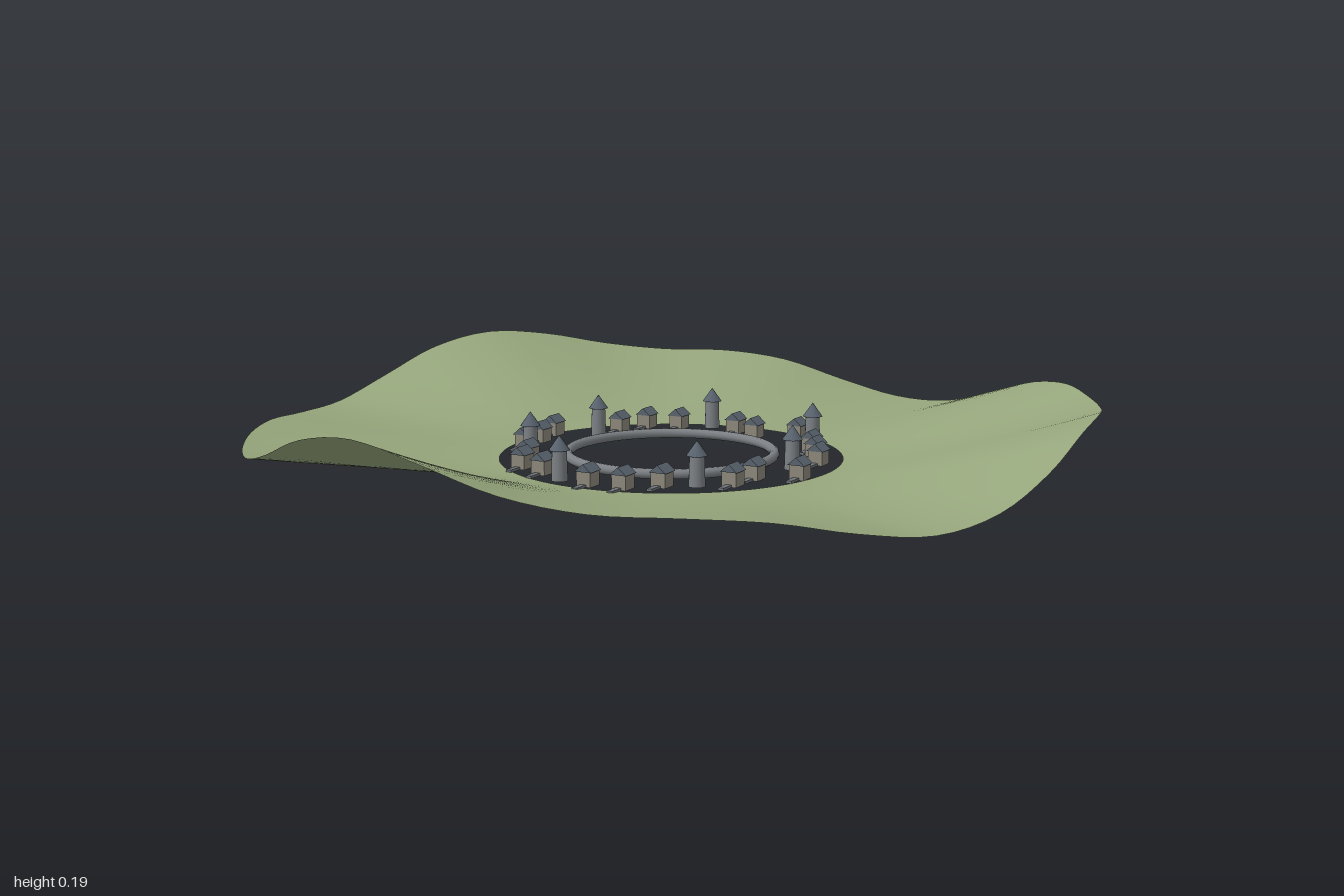
import * as THREE from 'three';
import { mergeVertices } from 'three/addons/utils/BufferGeometryUtils.js';

const paint = (color, extra = {}) => new THREE.MeshStandardMaterial({ color, ...extra });
const grass = paint(0x96a67c, { side: THREE.DoubleSide });
const stone = paint(0x7c8084);
const wall = paint(0x8c887c);
const slate = paint(0x59636e, { flatShading: true });
const timber = paint(0x70757a);

const INNER = 0.41;

// Rim height of the hills, one value every 10 degrees from +x towards +z
const RIM = [
  0.152, 0.095, 0.04, 0.02, 0.042, 0.075, 0.088, 0.093, 0.118, 0.165, 0.195, 0.17,
  0.11, 0.07, 0.06, 0.064, 0.064, 0.052, 0.055, 0.1, 0.16, 0.188, 0.172, 0.138,
  0.118, 0.116, 0.096, 0.05, 0.018, 0.025, 0.075, 0.125, 0.147, 0.143, 0.147, 0.163,
];

// Distance of each building from the centre, in even angular steps
const RADII = [
  0.32, 0.39, 0.325, 0.36, 0.345, 0.343, 0.38, 0.38, 0.375, 0.36, 0.373, 0.342, 0.338, 0.371,
  0.37, 0.398, 0.318, 0.345, 0.377, 0.36, 0.38, 0.34, 0.313, 0.388, 0.377, 0.345, 0.344, 0.359,
];

// Smooth periodic interpolation of the rim heights
function rimHeight(angle) {
  const n = RIM.length;
  const u = (((angle / (2 * Math.PI)) % 1) + 1) % 1 * n;
  const i = Math.floor(u);
  const t = u - i;
  const [a, b, c, d] = [-1, 0, 1, 2].map((k) => RIM[(i + k + n) % n]);
  return b + 0.5 * t * (c - a + t * (2 * a - 5 * b + 4 * c - d + t * (3 * (b - c) + d - a)));
}

function addMesh(parent, name, geometry, material, x = 0, y = 0, z = 0) {
  const mesh = new THREE.Mesh(geometry, material);
  mesh.name = name;
  mesh.position.set(x, y, z);
  parent.add(mesh);
  return mesh;
}

// Open ring of land that swells into hills towards its rim
function terrainGeometry() {
  let geometry = new THREE.RingGeometry(INNER, 1, 144, 24).rotateX(-Math.PI / 2);
  const p = geometry.attributes.position;
  for (let i = 0; i < p.count; i++) {
    const x = p.getX(i), z = p.getZ(i);
    const t = Math.max(0, (Math.hypot(x, z) - INNER) / (1 - INNER));
    p.setY(i, 0.004 + (rimHeight(Math.atan2(z, x)) - 0.004) * Math.pow(t, 1.3));
  }
  geometry.deleteAttribute('uv');
  geometry.deleteAttribute('normal');
  geometry = mergeVertices(geometry, 1e-5);
  geometry.computeVertexNormals();
  return geometry;
}

// Gable prism with its ridge along z
function gableGeometry(width, height, depth) {
  const shape = new THREE.Shape();
  shape.moveTo(-width / 2, 0);
  shape.lineTo(width / 2, 0);
  shape.lineTo(0, height);
  shape.closePath();
  return new THREE.ExtrudeGeometry(shape, { depth, bevelEnabled: false }).translate(0, 0, -depth / 2);
}

const houseParts = {
  body: new THREE.BoxGeometry(0.036, 0.034, 0.04),
  roof: gableGeometry(0.042, 0.018, 0.046),
  jetty: new THREE.BoxGeometry(0.014, 0.006, 0.04),
};
const towerParts = {
  shaft: new THREE.CylinderGeometry(0.017, 0.019, 0.07, 16),
  roof: new THREE.ConeGeometry(0.024, 0.034, 16),
};

function house() {
  const group = new THREE.Group();
  group.name = 'house';
  addMesh(group, 'houseBody', houseParts.body, wall, 0, 0.017, 0);
  addMesh(group, 'houseRoof', houseParts.roof, slate, 0, 0.034, 0);
  addMesh(group, 'jetty', houseParts.jetty, timber, 0, 0.003, 0.038);
  return group;
}

function tower() {
  const group = new THREE.Group();
  group.name = 'tower';
  addMesh(group, 'towerShaft', towerParts.shaft, stone, 0, 0.035, 0);
  addMesh(group, 'towerRoof', towerParts.roof, slate, 0, 0.087, 0);
  return group;
}

export function createModel() {
  const model = new THREE.Group();
  model.name = 'harbourBasin';

  addMesh(model, 'hills', terrainGeometry(), grass);

  // Low kerb around the central pool
  const kerb = new THREE.TorusGeometry(0.247, 0.012, 10, 96).rotateX(Math.PI / 2);
  addMesh(model, 'poolKerb', kerb, stone, 0, 0.012, 0);

  // Ring of houses, with a tower at every fourth place
  RADII.forEach((radius, i) => {
    const angle = (i / RADII.length) * Math.PI * 2;
    const building = i % 4 === 0 ? tower() : house();
    building.position.set(Math.cos(angle) * radius, 0.004, Math.sin(angle) * radius);
    model.add(building);
  });

  return model;
}
